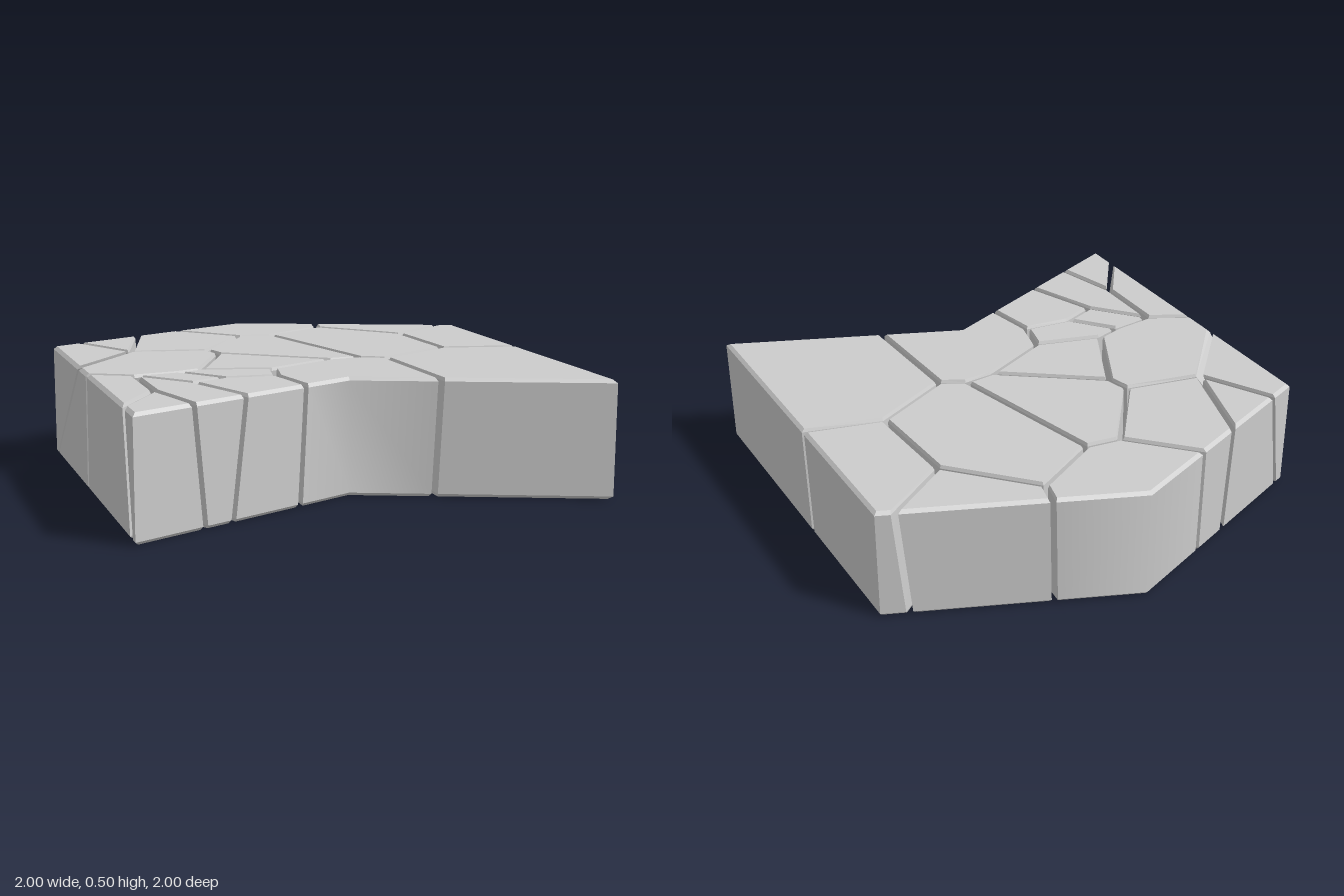
import * as THREE from 'three';
import { mergeGeometries, toCreasedNormals } from 'three/addons/utils/BufferGeometryUtils.js';

const H = 0.5, BEVEL = 0.014, GAP = 0.012;

// Corner points: [top x, top z, bottom x, bottom z]; j = inside joint, others lie on the outline
const back = (t, b) => [t, -1 + 0.41 * Math.abs(t), b, -1 + 0.41 * Math.abs(b)];
const front = (t, b) => [t, 0.585 + 0.415 * Math.abs(t), b, 0.585 + 0.415 * Math.abs(b)];
const P = {
  A: back(-1, -1), B: back(0, 0), C: back(1, 1), D: front(1, 1), E: front(0, 0), F: front(-1, -1),
  b1: back(-0.87, -0.955), b2: back(-0.565, -0.53), b3: back(-0.355, -0.35),
  b4: back(0.36, 0.35), b5: back(0.93, 0.89),
  b6: [-1, 0, -1, -0.56], b7: [-1, 0.16, -1, 0.14], b8: [-1, 0.85, -1, 0.94], b9: [1, 0.105, 1, 0.08],
  b10: front(-0.74, -0.695), b11: front(-0.505, -0.57), b12: front(-0.22, -0.25), b13: front(0.345, 0.325),
  j1: [-0.7, -0.33, -0.7, -0.3], jCorner: [-0.7, -0.33, -0.95, -0.56],
  j2: [-0.365, -0.26, -0.36, -0.28], j3: [-0.11, -0.6, -0.11, -0.595], j4: [-0.34, -0.16, -0.37, -0.12],
  j5: [0.04, -0.58, 0, -0.585], j6: [0.335, -0.745, 0.34, -0.75], j7: [0.215, 0.135, 0.19, 0.125],
  j8: [0.64, -0.42, 0.63, -0.43], j9: [0.665, 0.02, 0.69, -0.03], j10: [0.32, 0.19, 0.315, 0.16],
  j11: [0.08, 0.145, 0.05, 0.155], j12: [-0.23, 0.285, -0.225, 0.285], j13: [-0.52, 0.2, -0.515, 0.205],
  j14: [-0.63, 0.235, -0.62, 0.235], j15: [-0.265, 0.44, -0.25, 0.42], j16: [-0.48, 0.415, -0.45, 0.38],
  j17: [-0.63, 0.475, -0.66, 0.46], j18: [-0.82, 0.255, -0.8, 0.25], j19: [-0.82, 0.59, -0.8, 0.64],
};

// Stones, each a loop of corner names
const STONES = {
  backRightCornerWedge: 'A b1 jCorner b6',
  backRightSliver: 'b1 j1 b2',
  backRightStone: 'b2 j1 j2 j3 b3',
  backPeakStone: 'b3 j3 j5 j6 b4 B',
  backLeftStone: 'b4 j6 j8 b5',
  leftSideStone: 'b5 j8 j9 b9 C',
  frontLeftStone: 'b9 j9 j10 b13 D',
  centreLeftStone: 'j5 j6 j8 j9 j10 j7',
  centreStone: 'j3 j5 j7 j11 j4 j2',
  rightSideStone: 'j1 j2 j4 j13 j14 j18 b7 b6',
  centreWedge: 'j4 j11 j12 j13',
  frontNotchStone: 'j11 j7 j10 b13 E b12 j15 j12',
  smallInnerStone: 'j13 j12 j15 j16 j14',
  smallInnerWedge: 'j14 j16 j17 j18',
  frontRightStone: 'j18 j17 b11 b10 j19',
  frontMiddleStone: 'j17 j16 j15 b12 b11',
  rightSideSliver: 'j18 j19 b8 b7',
  frontRightCornerWedge: 'j19 b10 F b8',
};

// Move each edge of a loop inward by its own distance and find the new corners
function inset(loop, dist) {
  const n = loop.length;
  const normals = loop.map((p, i) => {
    const q = loop[(i + 1) % n], dx = q[0] - p[0], dz = q[1] - p[1], l = Math.hypot(dx, dz);
    return [dz / l, -dx / l];
  });
  return loop.map((p, i) => {
    const k = (i + n - 1) % n, a = normals[k], b = normals[i], da = dist[k], db = dist[i];
    const det = a[0] * b[1] - a[1] * b[0];
    if (Math.abs(det) < 0.08) return [p[0] + b[0] * db, p[1] + b[1] * db];
    return [p[0] + (da * b[1] - db * a[1]) / det, p[1] + (a[0] * db - b[0] * da) / det];
  });
}

const area = (l) => l.reduce((s, p, i) => {
  const q = l[(i + 1) % l.length];
  return s + p[0] * q[1] - q[0] * p[1];
}, 0);

function soup(points) {
  const g = new THREE.BufferGeometry().setFromPoints(points);
  g.computeVertexNormals();
  return g;
}

// Band between two rings, split along the shorter diagonal
function band(lo, hi) {
  const out = [];
  lo.forEach((a, i) => {
    const k = (i + 1) % lo.length, b = lo[k], c = hi[k], d = hi[i];
    if (a.distanceTo(c) < b.distanceTo(d)) out.push(a, b, c, a, c, d);
    else out.push(a, b, d, b, c, d);
  });
  return soup(out);
}

function cap(ring, up) {
  const tris = THREE.ShapeUtils.triangulateShape(ring.map((p) => new THREE.Vector2(p.x, -p.z)), []);
  return soup(tris.flatMap(([a, b, c]) => (up ? [a, b, c] : [a, c, b]).map((i) => ring[i])));
}

function stoneGeometry(names) {
  let keys = names.split(' ');
  if (area(keys.map((k) => P[k])) > 0) keys = keys.reverse();
  const inner = keys.map((k, i) => k[0] === 'j' || keys[(i + 1) % keys.length][0] === 'j');
  const ring = (y, extra) => {
    const t = y / H;
    const loop = keys.map((k) => {
      const [tx, tz, bx, bz] = P[k];
      return [bx + (tx - bx) * t, bz + (tz - bz) * t];
    });
    return inset(loop, inner.map((g) => (g ? GAP + extra * 0.4 : extra)))
      .map(([x, z]) => new THREE.Vector3(x, y, z));
  };
  const r = [ring(0, BEVEL), ring(BEVEL, 0), ring(H - BEVEL, 0), ring(H, BEVEL)];
  return mergeGeometries([
    cap(r[0], false), band(r[0], r[1]),
    toCreasedNormals(band(r[1], r[2]), 0.82), // shallow outline bends stay smooth
    band(r[2], r[3]), cap(r[3], true),
  ]);
}

export function createModel() {
  const group = new THREE.Group();
  group.name = 'crackedChevronSlab';
  const material = new THREE.MeshStandardMaterial({ color: 0xcccccc });
  for (const [name, names] of Object.entries(STONES)) {
    const mesh = new THREE.Mesh(stoneGeometry(names), material);
    mesh.name = name;
    group.add(mesh);
  }
  return group;
}
